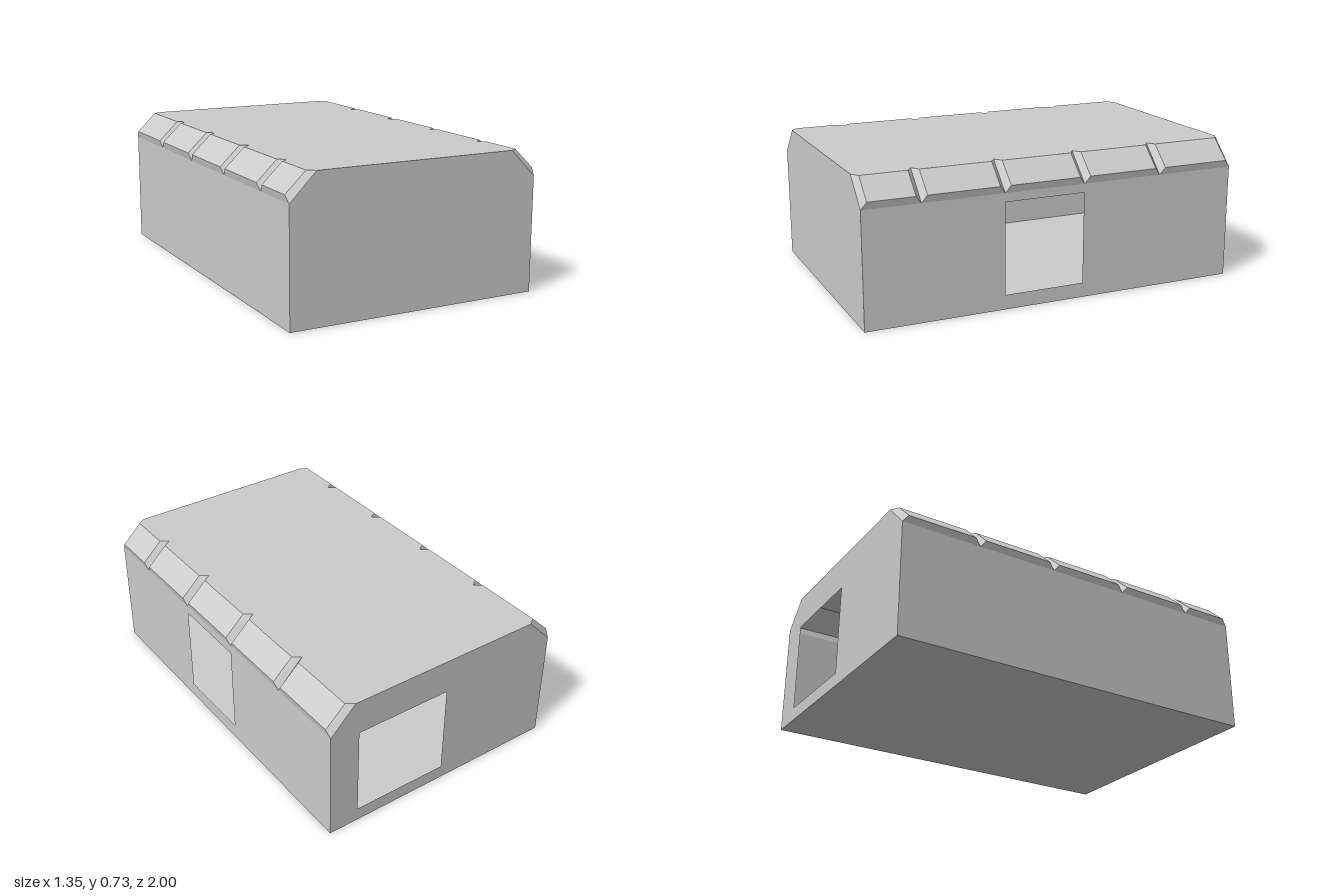
import * as THREE from 'three';

const W = 0.667, H = 0.727, EAVE = 0.59, INNER = 0.53; // half width, height, wall top, roof inset
const GROOVES = [-1, -0.577, -0.147, 0.282, 0.707, 1];  // z of the V grooves and both ends
const INSET = 0.028;                                    // half width of a groove

const material = new THREE.MeshStandardMaterial({
  color: 0xcccccc, flatShading: true, side: THREE.DoubleSide,
});

const polygon = (points) => new THREE.Shape(points.map(([x, y]) => new THREE.Vector2(x, y)));

// Flat panel with an optional rectangular opening [x0, x1, y0, y1]
function panel(points, opening) {
  const shape = polygon(points);
  if (opening) {
    const [x0, x1, y0, y1] = opening;
    shape.holes.push(polygon([[x0, y0], [x0, y1], [x1, y1], [x1, y0]]));
  }
  return new THREE.ShapeGeometry(shape);
}

// Row of raised bevel blocks along the +x roof edge, parted by V grooves
function bevelBlocks() {
  const positions = [];
  const quad = (a, b, c, d) => positions.push(...a, ...b, ...c, ...a, ...c, ...d);
  const foot = (z) => [W, EAVE, z];
  const brow = (z) => [0.675, 0.627, z];
  const crest = (z) => [0.57, H, z];
  const root = (z) => [INNER, H, z];
  for (let i = 0; i < GROOVES.length - 1; i++) {
    const z1 = GROOVES[i], z2 = GROOVES[i + 1];
    const a = z1 + INSET, b = z2 - INSET;
    quad(brow(b), brow(a), crest(a), crest(b));   // sloping face
    quad(foot(z2), foot(z1), brow(a), brow(b));   // lip under it
    quad(foot(z2), brow(b), crest(b), root(z2));  // front end
    quad(root(z1), crest(a), brow(a), foot(z1));  // back end
  }
  const geometry = new THREE.BufferGeometry();
  geometry.setAttribute('position', new THREE.Float32BufferAttribute(positions, 3));
  geometry.computeVertexNormals();
  return geometry;
}

// Roof outline notched where the grooves run out
function roof() {
  const edge = [];
  GROOVES.forEach((z, i) => {
    if (i > 0) edge.push([0.57, z - INSET]);
    edge.push([INNER, z]);
    if (i < GROOVES.length - 1) edge.push([0.57, z + INSET]);
  });
  // shape y becomes -z once laid flat
  const right = edge.map(([x, z]) => [x, -z]).reverse();
  const left = edge.map(([x, z]) => [-x, -z]);
  return panel([...right, ...left]).rotateX(-Math.PI / 2).translate(0, H, 0);
}

export function createModel() {
  const group = new THREE.Group();
  const add = (name, geometry) => {
    const mesh = new THREE.Mesh(geometry, material);
    mesh.name = name;
    group.add(mesh);
    return mesh;
  };

  // End walls; the back one has a doorway
  const gable = [[-W, 0], [W, 0], [W, EAVE], [INNER, H], [-INNER, H], [-W, EAVE]];
  add('frontWall', panel(gable).translate(0, 0, 1));
  add('backWall', panel(gable, [-0.507, 0.01, 0.07, 0.545]).rotateY(Math.PI).translate(0, 0, -1));

  // Side walls; the left one has a window
  const side = [[-1, 0], [1, 0], [1, EAVE], [-1, EAVE]];
  add('leftWall', panel(side, [-0.28, 0.145, 0.075, 0.545]).rotateY(Math.PI / 2).translate(W, 0, 0));
  add('rightWall', panel(side).rotateY(-Math.PI / 2).translate(-W, 0, 0));

  // Floor and roof
  add('floor', new THREE.PlaneGeometry(2 * W, 2).rotateX(Math.PI / 2));
  add('roof', roof());

  // Bevel blocks on both roof edges
  const blocks = bevelBlocks();
  add('leftBevelBlocks', blocks);
  add('rightBevelBlocks', blocks).scale.x = -1;

  return group;
}
